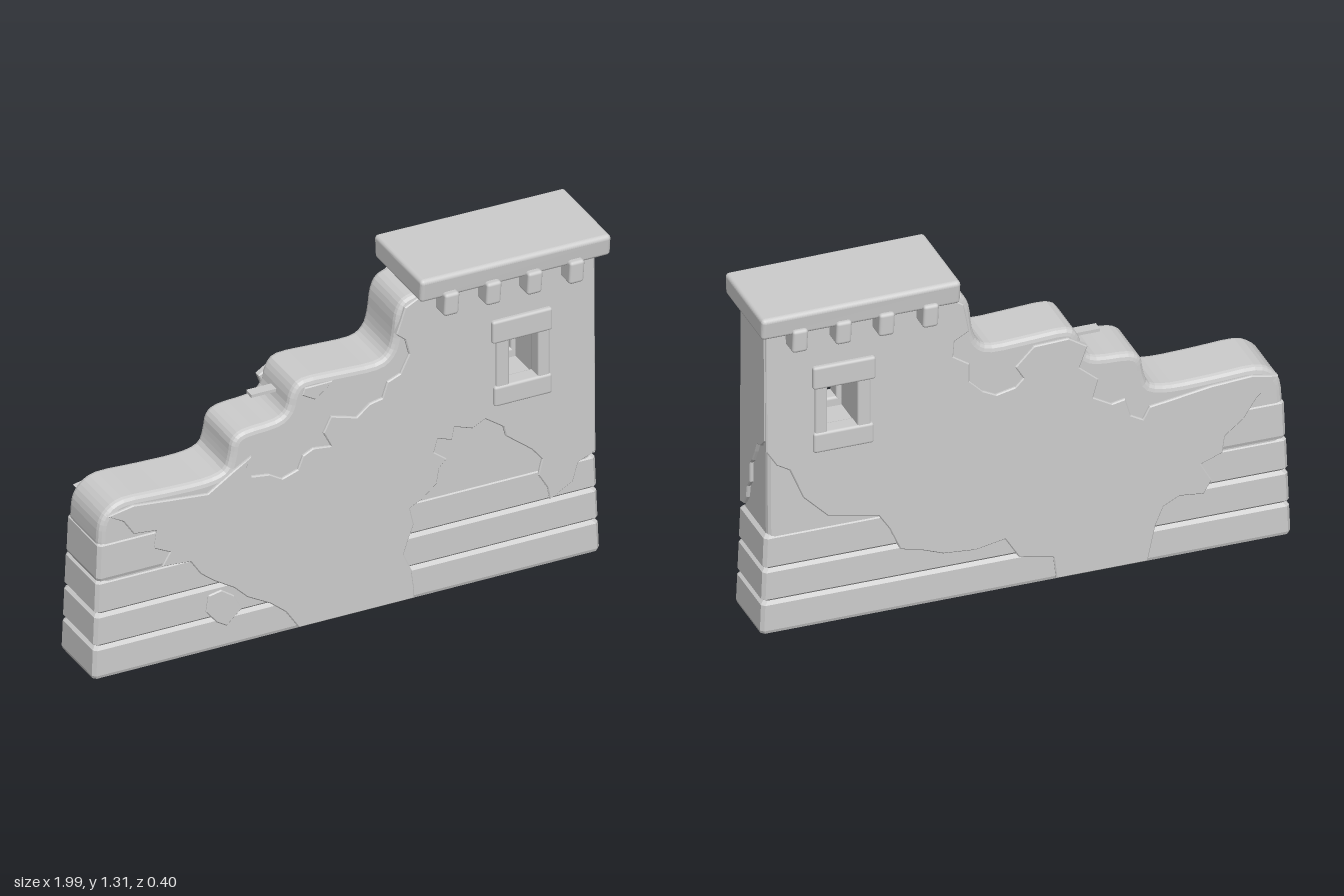
import * as THREE from 'three';
import { RoundedBoxGeometry } from 'three/addons/geometries/RoundedBoxGeometry.js';

const stone = new THREE.MeshStandardMaterial({ color: 0xcccccc, side: THREE.DoubleSide });
stone.name = 'pale stone';

const vec = (pts) => pts.map(([x, y]) => new THREE.Vector2(x, y));

// Walls lean in slightly towards the top
function taper(geo) {
  const p = geo.attributes.position;
  for (let i = 0; i < p.count; i++) p.setZ(i, p.getZ(i) * (1 - 0.075 * p.getY(i)));
  geo.computeVertexNormals();
  return geo;
}

// Rectangular opening for the window
function windowHole() {
  return new THREE.Path(vec([[0.6, 0.74], [0.6, 0.98], [0.75, 0.98], [0.75, 0.74]]));
}

// Extrudes an outline with rounded rims, between z0 and z1
function slab(points, z0, z1, bevel, segments, hole) {
  const shape = new THREE.Shape(vec(points));
  if (hole) shape.holes.push(windowHole());
  const geo = new THREE.ExtrudeGeometry(shape, {
    depth: z1 - z0 - 2 * bevel, bevelThickness: bevel, bevelSize: bevel,
    bevelOffset: -bevel, bevelSegments: segments, curveSegments: 4,
  });
  geo.translate(0, 0, z0 + bevel);
  return geo;
}

// Open-ended stack of stone courses, each with chamfered edges
function courses(levels, x0, x1, half, lean) {
  const pos = [], idx = [], c = 0.012, rows = [];
  for (let i = 0; i + 1 < levels.length; i++) {
    const a = levels[i], b = levels[i + 1];
    rows.push([a, i ? 0.013 : 0.004], [a + 0.012, 0], [b - 0.012, 0], [b, 0.013]);
  }
  for (const [y, inset] of rows) {
    const l = x0 + lean * y + inset, r = x1 - lean * y - inset, h = half - 0.008 * y - inset;
    for (const [x, z] of [[l + c, h], [r - c, h], [r, h - c], [r, c - h], [r - c, -h], [l + c, -h], [l, c - h], [l, h - c]])
      pos.push(x, y, z);
  }
  for (let j = 0; j + 1 < rows.length; j++)
    for (let k = 0; k < 8; k++) {
      const a = j * 8 + k, b = j * 8 + (k + 1) % 8;
      idx.push(a, b, b + 8, a, b + 8, a + 8);
    }
  const geo = new THREE.BufferGeometry();
  geo.setAttribute('position', new THREE.Float32BufferAttribute(pos, 3));
  geo.setIndex(idx);
  const flat = geo.toNonIndexed();
  flat.computeVertexNormals();
  return flat;
}

// Broken, stepped top edge of the wall, from left to right
const brokenEdge = [
  [-0.972, 0.54], [-0.965, 0.61], [-0.935, 0.66], [-0.87, 0.69], [-0.72, 0.685], [-0.56, 0.682],
  [-0.48, 0.7], [-0.458, 0.75], [-0.445, 0.81], [-0.4, 0.84], [-0.28, 0.85], [-0.235, 0.88],
  [-0.215, 0.945], [-0.17, 0.985], [-0.03, 0.982], [0.11, 0.978], [0.16, 1.005], [0.18, 1.06],
  [0.192, 1.15], [0.22, 1.2], [0.27, 1.216],
];

// Ragged plaster outlines
const frontPlaster = [
  [-0.2, 0.004], [0.25, 0.004], [0.25, 0.04], [0.24, 0.12], [0.21, 0.19], [0.23, 0.25], [0.25, 0.3], [0.235, 0.37],
  [0.28, 0.39], [0.34, 0.44], [0.35, 0.5], [0.38, 0.53], [0.33, 0.57], [0.345, 0.62], [0.4, 0.6],
  [0.41, 0.65], [0.48, 0.625], [0.53, 0.65], [0.6, 0.6], [0.61, 0.56], [0.66, 0.52], [0.71, 0.48],
  [0.75, 0.43], [0.735, 0.37], [0.77, 0.31], [0.78, 0.26], [0.87, 0.31], [0.89, 0.38], [0.958, 0.41],
  [0.958, 1.212], [0.27, 1.205], [0.22, 1.18], [0.2, 1.12], [0.185, 1.08], [0.22, 1.05], [0.235, 0.99],
  [0.2, 0.92], [0.15, 0.9], [0.13, 0.84], [0.08, 0.83], [0.03, 0.79], [-0.07, 0.82], [-0.1, 0.76],
  [-0.07, 0.7], [-0.14, 0.71], [-0.18, 0.69], [-0.2, 0.64], [-0.26, 0.62], [-0.31, 0.65], [-0.38, 0.66],
  [-0.4, 0.7], [-0.38, 0.74], [-0.45, 0.7], [-0.55, 0.635], [-0.7, 0.65], [-0.84, 0.665], [-0.94, 0.645],
  [-0.88, 0.61], [-0.84, 0.55], [-0.75, 0.54], [-0.76, 0.47], [-0.7, 0.44], [-0.73, 0.39], [-0.62, 0.38],
  [-0.58, 0.32], [-0.53, 0.28], [-0.45, 0.23], [-0.4, 0.18], [-0.31, 0.13], [-0.25, 0.08],
];
const backPlaster = [
  [-0.46, 0.004], [-0.12, 0.004], [-0.11, 0.09], [0.02, 0.12], [0.07, 0.2], [0.18, 0.18], [0.3, 0.19],
  [0.38, 0.22], [0.46, 0.24], [0.5, 0.33], [0.54, 0.39], [0.63, 0.41], [0.73, 0.43], [0.82, 0.52],
  [0.87, 0.64], [0.92, 0.67], [0.958, 0.73], [0.958, 1.212], [0.27, 1.205], [0.22, 1.17], [0.2, 1.06], [0.255, 1.03],
  [0.26, 0.97], [0.2, 0.93], [0.2, 0.86], [0.15, 0.81], [0.1, 0.785], [0.03, 0.8], [0, 0.83], [0.03, 0.88],
  [-0.04, 0.95], [-0.17, 0.955], [-0.24, 0.91], [-0.21, 0.83], [-0.28, 0.77], [-0.26, 0.7], [-0.33, 0.66],
  [-0.38, 0.67], [-0.4, 0.6], [-0.445, 0.575], [-0.47, 0.62], [-0.54, 0.63], [-0.7, 0.655], [-0.85, 0.665],
  [-0.95, 0.645], [-0.87, 0.575], [-0.82, 0.5], [-0.75, 0.445], [-0.74, 0.38], [-0.66, 0.35], [-0.7, 0.28],
  [-0.67, 0.23], [-0.58, 0.24], [-0.52, 0.21], [-0.49, 0.14],
];
const sidePlaster = [
  [0.128, 0.4], [0.128, 1.212], [-0.128, 1.212], [-0.128, 0.77], [-0.09, 0.735], [-0.05, 0.72], [-0.03, 0.68],
  [0, 0.63], [0.02, 0.61], [0.025, 0.53], [0.05, 0.5], [0.06, 0.45], [0.09, 0.41],
];

export function createModel() {
  const model = new THREE.Group();
  model.name = 'ruinedWall';
  const add = (name, geo, parent = model) => {
    const mesh = new THREE.Mesh(geo, stone);
    mesh.name = name;
    parent.add(mesh);
    return mesh;
  };
  const block = (name, x0, x1, y0, y1, z0, z1, r, parent) => {
    const geo = new RoundedBoxGeometry(x1 - x0, y1 - y0, z1 - z0, 2, r);
    geo.translate((x0 + x1) / 2, (y0 + y1) / 2, (z0 + z1) / 2);
    return add(name, geo, parent);
  };

  // Stone courses, with a fourth one only at the low end
  add('lowerCourses', courses([0, 0.125, 0.255, 0.39], -0.998, 0.978, 0.129, 0.04));
  add('upperCourse', courses([0.388, 0.54], -0.996, -0.2, 0.129, 0.04));

  // Wall core with the broken top
  const edge = new THREE.SplineCurve(vec(brokenEdge)).getPoints(60).map((p) => [p.x, p.y]);
  const outline = [[-0.96, 0.35], ...edge, [0.95, 1.216], [0.948, 0.35]].reverse();
  add('wallCore', taper(slab(outline, -0.125, 0.125, 0.025, 3, true)));

  // Plaster coats
  add('frontPlaster', taper(slab(frontPlaster, 0.105, 0.136, 0.004, 1, true)));
  add('backPlaster', taper(slab(backPlaster, -0.136, -0.105, 0.004, 1, true)));
  const side = slab(sidePlaster, 0, 0.03, 0.004, 1, false);
  side.rotateY(-Math.PI / 2).translate(0.962, 0, 0);
  add('sidePlaster', taper(side));

  // Loose plaster scraps
  const scrap = [[-0.56, 0.16], [-0.52, 0.11], [-0.48, 0.085], [-0.42, 0.14], [-0.45, 0.2], [-0.5, 0.235], [-0.55, 0.225]];
  add('plasterScrap', taper(slab(scrap, 0.11, 0.136, 0.004, 1, false)));
  const chip = [[-0.18, 0.93], [-0.13, 0.9], [-0.08, 0.935], [-0.06, 0.958], [-0.17, 0.958]];
  add('plasterChip', taper(slab(chip, 0.11, 0.131, 0.004, 1, false)));

  // Window frames on both faces
  for (const s of [1, -1]) {
    const frame = new THREE.Group();
    frame.name = s > 0 ? 'frontWindowFrame' : 'backWindowFrame';
    const z = (d) => [Math.min(s * 0.075, s * d), Math.max(s * 0.075, s * d)];
    block('lintel', 0.553, 0.787, 0.95, 1.04, ...z(0.142), 0.01, frame);
    block('sill', 0.56, 0.785, 0.695, 0.775, ...z(0.142), 0.01, frame);
    block('leftJamb', 0.732, 0.778, 0.76, 0.96, ...z(0.137), 0.008, frame);
    block('rightJamb', 0.57, 0.62, 0.76, 0.96, ...z(0.137), 0.008, frame);
    model.add(frame);
  }

  // Beams under the cap
  for (const x of [0.368, 0.532, 0.692, 0.855]) {
    const beam = block('roofBeam', x - 0.029, x + 0.029, 1.145, 1.238, -0.2, 0.2, 0.012);
    const p = beam.geometry.attributes.position;
    for (let i = 0; i < p.count; i++) if (p.getY(i) < 1.19) p.setZ(i, p.getZ(i) * 0.96);
  }

  // Cap slab, slightly crowned across its depth
  const cap = new RoundedBoxGeometry(0.742, 0.095, 0.37, 4, 0.015);
  const cp = cap.attributes.position;
  for (let i = 0; i < cp.count; i++) {
    const x = cp.getX(i), y = cp.getY(i), z = cp.getZ(i);
    if (y > 0) cp.setY(i, y - 0.25 * z * z - 0.01 * x);
    if (y < 0) cp.setZ(i, z * 0.97);
  }
  cap.computeVertexNormals();
  cap.translate(0.625, 1.262, -0.004);
  add('capSlab', cap);

  // Thin splinter sticking out of the broken edge
  const splinter = new THREE.BoxGeometry(0.11, 0.012, 0.04);
  splinter.translate(-0.267, 0.906, -0.01);
  add('splinter', splinter);
  return model;
}
